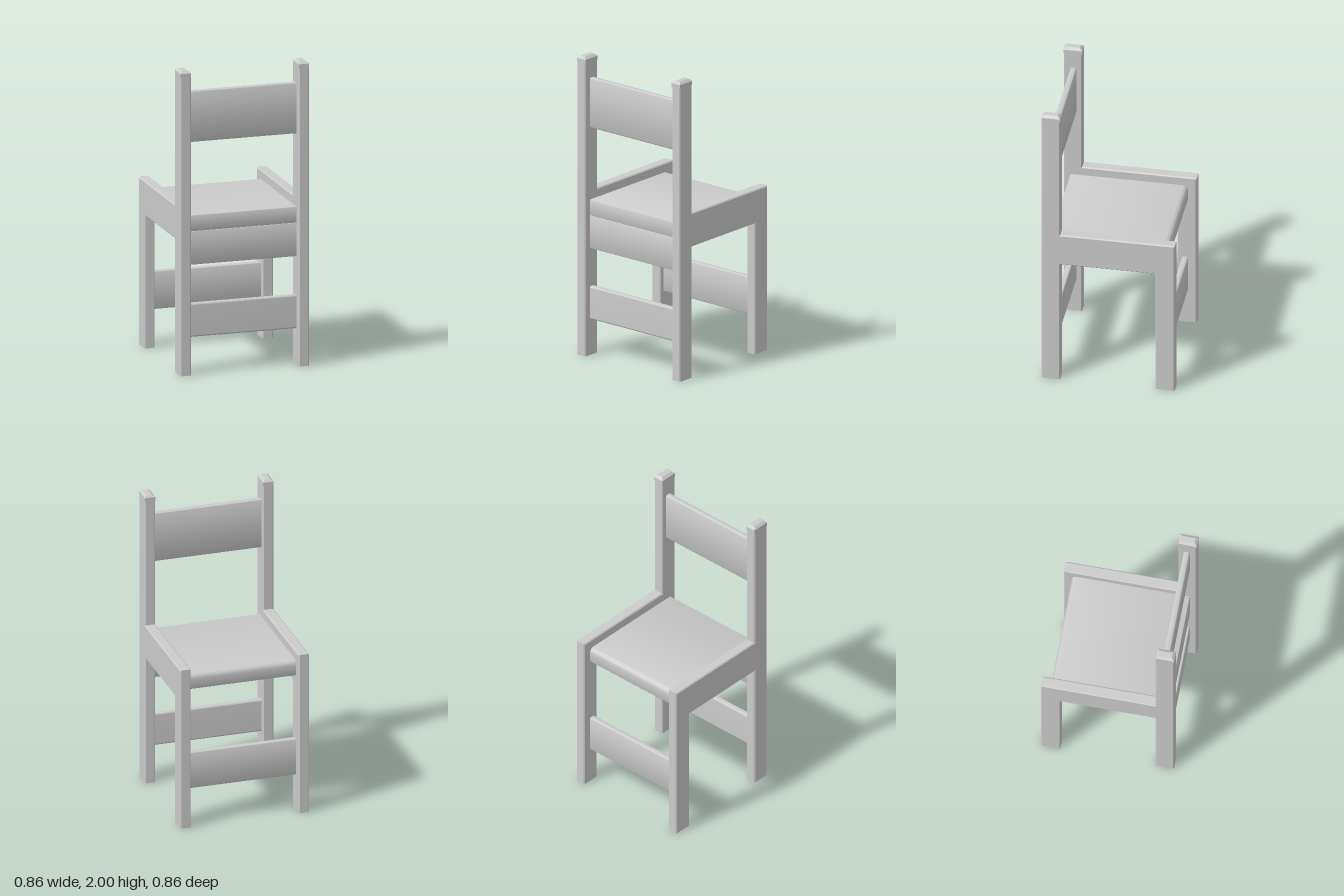
import * as THREE from 'three';
import { toCreasedNormals } from 'three/addons/utils/BufferGeometryUtils.js';

const material = new THREE.MeshStandardMaterial({ color: 0xcccccc });

function addMesh(parent, name, geometry) {
  const mesh = new THREE.Mesh(geometry, material);
  mesh.name = name;
  parent.add(mesh);
  return mesh;
}

// Extrudes a (z, y) profile along x, centred on x = 0
function extrudeAcross(shape, width, bevel = 0) {
  const depth = width - 2 * bevel;
  const geometry = new THREE.ExtrudeGeometry(shape, {
    depth, curveSegments: 8, bevelEnabled: bevel > 0, bevelSegments: 1,
    bevelSize: bevel, bevelThickness: bevel, bevelOffset: -bevel,
  });
  geometry.translate(0, 0, -depth / 2).rotateY(-Math.PI / 2);
  return geometry;
}

// Board with rounded long edges; radii: -z bottom, +z bottom, +z top, -z top
function board(z0, z1, y0, y1, [a, b, c, d]) {
  const s = new THREE.Shape();
  s.moveTo(z0 + a, y0);
  s.lineTo(z1 - b, y0);
  s.absarc(z1 - b, y0 + b, b, -Math.PI / 2, 0);
  s.lineTo(z1, y1 - c);
  s.absarc(z1 - c, y1 - c, c, 0, Math.PI / 2);
  s.lineTo(z0 + d, y1);
  s.absarc(z0 + d, y1 - d, d, Math.PI / 2, Math.PI);
  s.lineTo(z0, y0 + a);
  s.absarc(z0 + a, y0 + a, a, Math.PI, Math.PI * 1.5);
  return toCreasedNormals(extrudeAcross(s, 0.73), 0.6);
}

// Tall post, side rail and short leg in one chamfered piece
function sideFrameGeometry() {
  const bevel = 0.007;
  const profile = [
    [0.43, -bevel], [0.43, 1.975], [0.31, 1.975], [0.31, 1.1], [-0.43, 1.1],
    [-0.43, -bevel], [-0.305, -bevel], [-0.305, 0.875], [0.31, 0.875], [0.31, -bevel],
  ].map(([z, y]) => new THREE.Vector2(z, y));
  const geometry = extrudeAcross(new THREE.Shape(profile), 0.07, bevel);
  // Flatten the feet onto the ground
  const p = geometry.attributes.position;
  for (let i = 0; i < p.count; i++) p.setY(i, Math.max(0, p.getY(i)));
  geometry.computeVertexNormals();
  return geometry;
}

// Post top with a wide chamfer
function postCapGeometry() {
  const x = 0.035, z = 0.06;
  const shape = new THREE.Shape([[-x, -z], [x, -z], [x, z], [-x, z]]
    .map(([u, v]) => new THREE.Vector2(u, v)));
  const geometry = new THREE.ExtrudeGeometry(shape, {
    depth: 0.025, bevelSegments: 1, bevelSize: 0.017,
    bevelThickness: 0.015, bevelOffset: -0.017,
  });
  return geometry.rotateX(-Math.PI / 2).translate(0, 1.96, 0.37);
}

export function createModel() {
  const chair = new THREE.Group();
  chair.name = 'chair';

  // Side frames
  const frame = sideFrameGeometry();
  const cap = postCapGeometry();
  for (const [side, x] of [['left', 0.395], ['right', -0.395]]) {
    const group = new THREE.Group();
    group.name = side + 'SideFrame';
    group.position.x = x;
    addMesh(group, side + 'Frame', frame);
    addMesh(group, side + 'PostCap', cap);
    chair.add(group);
  }

  // Seat with a rolled front edge on the -z side
  addMesh(chair, 'seat', board(-0.375, 0.385, 0.935, 1.04, [0.01, 0.003, 0.003, 0.035]));

  // Cross boards
  const round = [0.01, 0.01, 0.01, 0.01];
  addMesh(chair, 'backSlat', board(0.345, 0.385, 1.52, 1.855, round));
  addMesh(chair, 'underSeatRail', board(0.345, 0.385, 0.715, 0.935, [0.003, 0.003, 0.003, 0.003]));
  addMesh(chair, 'backStretcher', board(0.345, 0.385, 0.24, 0.46, round));
  addMesh(chair, 'frontStretcher', board(-0.375, -0.335, 0.245, 0.495, round));

  return chair;
}
